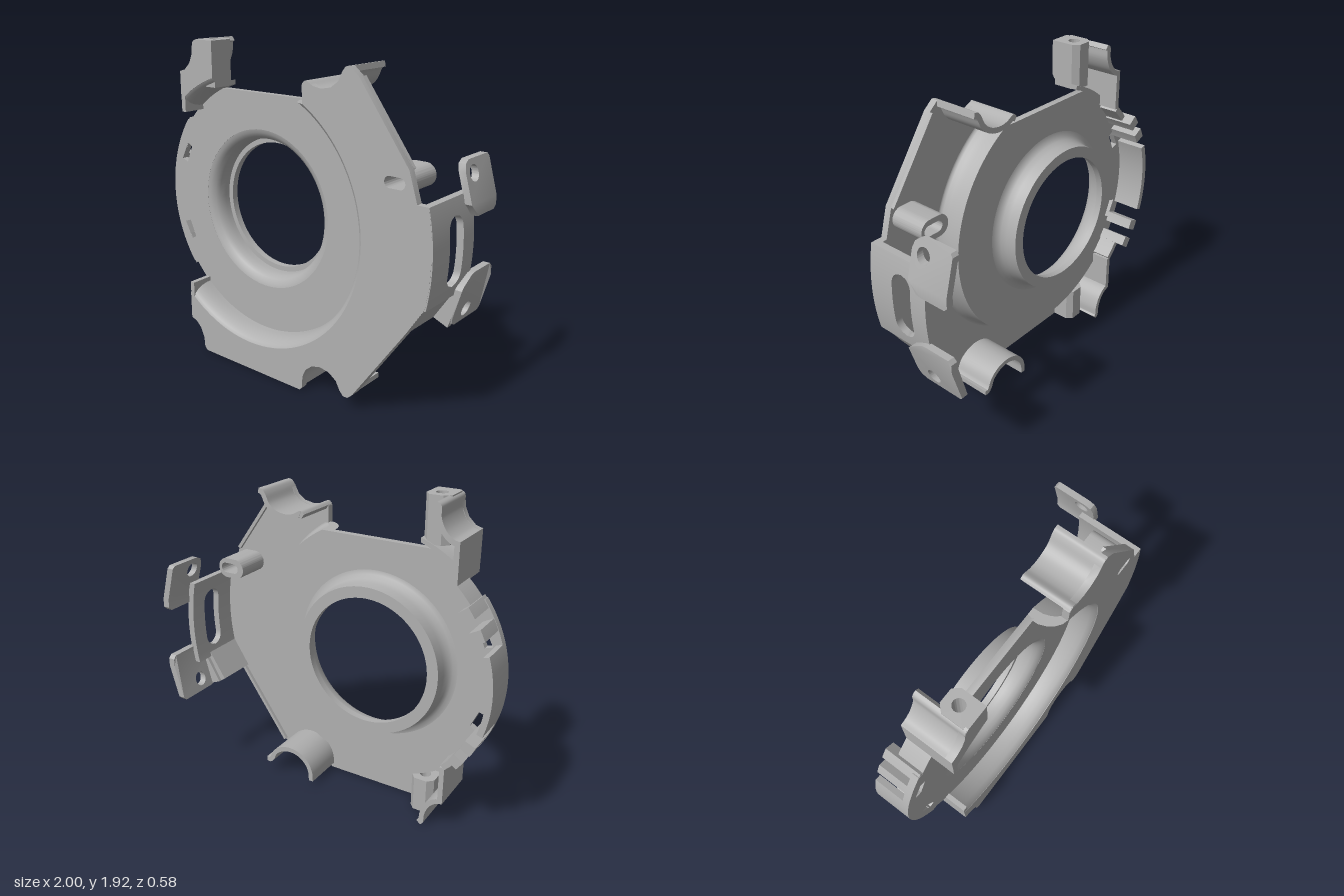
import * as THREE from 'three';
import { toCreasedNormals } from 'three/addons/utils/BufferGeometryUtils.js';

const CX = -0.23, CY = 0.965; // axis of the dished disc
const rad = THREE.MathUtils.degToRad;

export function createModel() {
  const group = new THREE.Group();
  const metal = new THREE.MeshStandardMaterial({ color: 0xb0b0b0, side: THREE.DoubleSide });
  metal.name = 'grey metal';

  const add = (name, geo) => {
    const mesh = new THREE.Mesh(geo, metal);
    mesh.name = name;
    group.add(mesh);
    return mesh;
  };

  // Unit box with segments, every vertex (0..1) moved by a rule
  const bentBox = (name, nx, ny, nz, rule) => {
    const geo = new THREE.BoxGeometry(1, 1, 1, nx, ny, nz);
    const p = geo.attributes.position;
    for (let i = 0; i < p.count; i++) {
      p.setXYZ(i, ...rule(p.getX(i) + 0.5, p.getY(i) + 0.5, p.getZ(i) + 0.5));
    }
    geo.computeVertexNormals();
    return add(name, geo);
  };

  const extrude = (shape, depth) => toCreasedNormals(new THREE.ExtrudeGeometry(shape,
    { depth, bevelEnabled: false, curveSegments: 32 }), 0.5);
  const slab = (name, shape, z0, z1) => add(name, extrude(shape, z1 - z0).translate(0, 0, z0));
  const poly = pts => new THREE.Shape(pts.map(p => new THREE.Vector2(...p)));
  const hole = (x, y, r) => new THREE.Path().absarc(x, y, r, 0, Math.PI * 2);
  const stadium = (T, x, y, half, r) => new T().absarc(x + half, y, r, -Math.PI / 2, Math.PI / 2)
    .absarc(x - half, y, r, Math.PI / 2, Math.PI * 1.5);

  // Sheet wall that follows a path; its thickness lies to the right of travel
  const ribbon = (name, pts, t, z0, z1) => {
    const curve = new THREE.SplineCurve(pts.map(p => new THREE.Vector2(...p)));
    bentBox(name, 1, pts.length > 2 ? 40 : 1, 1, (u, v, w) => {
      const p = curve.getPoint(v), d = curve.getTangent(v);
      return [p.x + d.y * t * u, p.y - d.x * t * u, z0 + (z1 - z0) * w];
    });
  };

  // Dished disc with hub opening and two slanted slots
  const disc = new THREE.Shape();
  disc.absarc(CX, CY, 0.745, Math.PI + rad(37), Math.PI * 2 + Math.asin(0.675 / 0.745));
  disc.absarc(CX, CY, 0.745, Math.PI - Math.asin(0.675 / 0.745), Math.PI - rad(37));
  disc.absarc(CX, CY, 0.77, Math.PI - rad(36.5), Math.PI + rad(36.5));
  disc.holes.push(hole(CX, CY, 0.47));
  for (const s of [1, -1]) {
    disc.holes.push(new THREE.Path([[-0.915, 0.215], [-0.87, 0.2], [-0.825, 0.3], [-0.86, 0.32]]
      .map(([x, v]) => new THREE.Vector2(x, CY + s * (v - 0.01)))));
  }
  slab('disc', disc, 0.11, 0.15);

  // Hub ring, lathed around z
  const hub = [[0.475, 0.15], [0.45, 0.145], [0.425, 0.125], [0.41, 0.1], [0.405, 0.06], [0.405, 0.03],
    [0.375, 0.03], [0.375, -0.01], [0.44, -0.01], [0.445, 0.05], [0.455, 0.085], [0.475, 0.105],
    [0.5, 0.11], [0.475, 0.15]].map(p => new THREE.Vector2(...p));
  add('hub', toCreasedNormals(new THREE.LatheGeometry(hub, 96).rotateX(Math.PI / 2), 0.6)
    .translate(CX, CY, 0));

  // Rounded step between disc and front plate, trimmed by the plate's straight edges
  const front = [[0.74, 0.11], [0.74, 0.18], [0.747, 0.222], [0.758, 0.255], [0.773, 0.278], [0.795, 0.29]];
  const back = [[0.765, 0.11], [0.767, 0.17], [0.774, 0.21], [0.783, 0.235], [0.79, 0.248], [0.8, 0.25]];
  const step = (name, a0, a1) => bentBox(name, 1, 90, 5, (u, v, w) => {
    const [r, z] = (u < 0.5 ? front : back)[Math.round(w * 5)];
    const a = a0(r) + (a1(r) - a0(r)) * v;
    return [CX + r * Math.cos(a), CY + r * Math.sin(a), z];
  });
  step('mainStep', r => -Math.acos(-0.51 / r), r => Math.asin(0.675 / r));
  step('upperLeftStep', r => Math.acos(-0.245 / r), r => Math.acos(-0.51 / r));

  // Front plate wrapping the right side and bottom
  const R = 0.79;
  const plate = new THREE.Shape();
  plate.absarc(CX, CY, R, -Math.acos(-0.51 / R), Math.acos(0.405 / R));
  for (const p of [[0.175, 1.74], [0.2, 1.762], [0.25, 1.738], [0.3, 1.73], [0.36, 1.742], [0.405, 1.775],
    [0.43, 1.825], [0.45, 1.85], [0.475, 1.855], [0.53, 1.81], [0.83, 1.4], [0.88, 1.24], [0.945, 1.24],
    [0.965, 1.1], [0.97, 0.965], [0.965, 0.83], [0.945, 0.725], [0.84, 0.56], [0.52, 0.1], [0.49, 0.073],
    [0.46, 0.073], [0.435, 0.1], [0.41, 0.148], [0.36, 0.182], [0.3, 0.193], [0.24, 0.178], [0.195, 0.14],
    [0.172, 0.09], [0.168, 0.02], [0.15, 0], [-0.61, 0], [-0.63, 0.02], [-0.635, 0.08], [-0.66, 0.14],
    [-0.7, 0.178], [-0.74, 0.19]]) plate.lineTo(...p);
  plate.holes.push(stadium(THREE.Path, 0.75, 1.325, 0.03, 0.03));
  slab('frontPlate', plate, 0.25, 0.29);

  const tab = new THREE.Shape();
  tab.absarc(CX, CY, R, Math.acos(-0.245 / R), Math.acos(-0.51 / R));
  for (const p of [[-0.74, 1.735], [-0.7, 1.747], [-0.66, 1.785], [-0.635, 1.84], [-0.63, 1.9],
    [-0.605, 1.92], [-0.475, 1.92]]) tab.lineTo(...p);
  slab('upperLeftTab', tab, 0.25, 0.29);

  // Arched cradles and the curved side walls of the left tabs
  ribbon('upperCradle', [[0.175, 1.745], [0.2, 1.762], [0.25, 1.738], [0.3, 1.73], [0.36, 1.742],
    [0.405, 1.775], [0.43, 1.825], [0.45, 1.85], [0.475, 1.855]], 0.03, -0.005, 0.288);
  ribbon('lowerCradle', [[0.49, 0.073], [0.46, 0.073], [0.435, 0.1], [0.41, 0.148], [0.36, 0.182],
    [0.3, 0.193], [0.24, 0.178], [0.195, 0.14], [0.172, 0.09], [0.168, 0.03]], 0.03, -0.005, 0.288);
  ribbon('upperTabCurve', [[-0.74, 1.735], [-0.7, 1.747], [-0.66, 1.785], [-0.635, 1.84], [-0.63, 1.9],
    [-0.605, 1.92]], 0.03, -0.005, 0.288);
  ribbon('lowerTabCurve', [[-0.61, 0.001], [-0.63, 0.02], [-0.635, 0.08], [-0.66, 0.14], [-0.7, 0.178],
    [-0.74, 0.19]], 0.03, -0.005, 0.288);
  ribbon('upperTabSide', [[-0.74, 1.5], [-0.74, 1.735]], 0.03, -0.005, 0.288);
  ribbon('lowerTabSide', [[-0.74, 0.19], [-0.74, 0.43]], 0.03, -0.005, 0.288);
  ribbon('upperEdgeRib', [[0.53, 1.81], [0.83, 1.4]], 0.02, 0.23, 0.26);
  ribbon('lowerEdgeRib', [[0.84, 0.56], [0.52, 0.1]], 0.02, 0.23, 0.26);

  // Screw posts with vertical holes
  for (const [name, y0, y1] of [['upperPost', 1.66, 1.92], ['lowerPost', 0, 0.22]]) {
    const post = poly([[-0.62, -0.27], [-0.475, -0.27], [-0.475, -0.15], [-0.505, -0.115],
      [-0.585, -0.115], [-0.62, -0.15]]);
    post.holes.push(hole(-0.545, -0.19, 0.033));
    add(name, extrude(post, y1 - y0).rotateX(-Math.PI / 2).translate(0, y0, 0));
  }

  // Slotted rim on the left edge
  const rim = (name, d0, d1, r0, r1, z0) => bentBox(name, 1, 24, 1, (u, v, w) => {
    const r = r0 + (r1 - r0) * u, a = Math.PI + rad(d0 + (d1 - d0) * v);
    return [CX + r * Math.cos(a), CY + r * Math.sin(a), z0 + (0.149 - z0) * w];
  });
  rim('rimCentre', -17.5, 17.5, 0.735, 0.77, -0.07);
  for (const s of [1, -1]) {
    const arc = (name, d0, d1, ...rest) => rim(name, ...(s > 0 ? [d0, d1] : [-d1, -d0]), ...rest);
    arc('rimClip', 23.5, 28.5, 0.7, 0.768, -0.07);
    arc('rimClip', 33, 38, 0.7, 0.765, -0.07);
    arc('rimEnd', 38, 47, 0.71, 0.745, -0.005);
  }

  // Hollow boss behind the oval hole
  const boss = stadium(THREE.Shape, 0.74, 1.325, 0.03, 0.06);
  boss.holes.push(stadium(THREE.Path, 0.75, 1.325, 0.03, 0.03));
  slab('ovalBoss', boss, 0.04, 0.26);

  // Curved bracket wall: two bars meeting around a rounded slot
  const slotHalf = y => {
    const over = Math.abs(y - CY) - 0.12;
    return over < 0 ? 0.067 : Math.sqrt(Math.max(0, 0.067 ** 2 - over ** 2));
  };
  const bar = (name, z0, z1) => bentBox(name, 1, 60, 1, (u, v, w) => {
    const y = 0.715 + 0.525 * v, a = z0(y), b = z1(y);
    return [CX + Math.sqrt(1.207 ** 2 - (y - CY) ** 2) - 0.04 * (1 - u), y, a + (b - a) * w];
  });
  bar('bracketFrontBar', y => 0.063 + slotHalf(y), () => 0.289);
  bar('bracketBackBar', () => -0.11, y => 0.063 - slotHalf(y));

  // Bracket ears with screw holes, leaning inward away from the middle
  for (const [name, s, z] of [['upperEar', 1, 0.03], ['lowerEar', -1, -0.02]]) {
    const ear = poly([[z + 0.02, 0.2], [0.08, 0.155], [0.11, 0.15], [0.27, 0.15], [0.29, 0.17], [0.29, 0.22],
      [0.29, 0.42], [0.275, 0.437], [z + 0.05, 0.437], [z + 0.015, 0.42], [z, 0.38], [z, 0.22]]
      .map(([x, v]) => [x, s * v]));
    ear.holes.push(hole(0.11, s * 0.365, 0.043));
    const geo = new THREE.ExtrudeGeometry(ear, { depth: 0.04, bevelEnabled: false, curveSegments: 24 });
    geo.rotateY(Math.PI / 2);
    const p = geo.attributes.position;
    for (let i = 0; i < p.count; i++) {
      p.setX(i, p.getX(i) + 0.957 - 0.28 * Math.max(0, Math.abs(p.getY(i)) - 0.22));
    }
    add(name, toCreasedNormals(geo, 0.5).translate(0, CY, 0));
  }

  // Slanted flange and web joining the lower ear to the plate
  ribbon('lowerFlange', [[0.95, 0.73], [0.84, 0.56]], 0.035, 0, 0.288);
  slab('lowerWeb', poly([[0.84, 0.56], [0.925, 0.525], [0.99, 0.72], [0.95, 0.75]]), -0.02, 0.02);
  return group;
}
